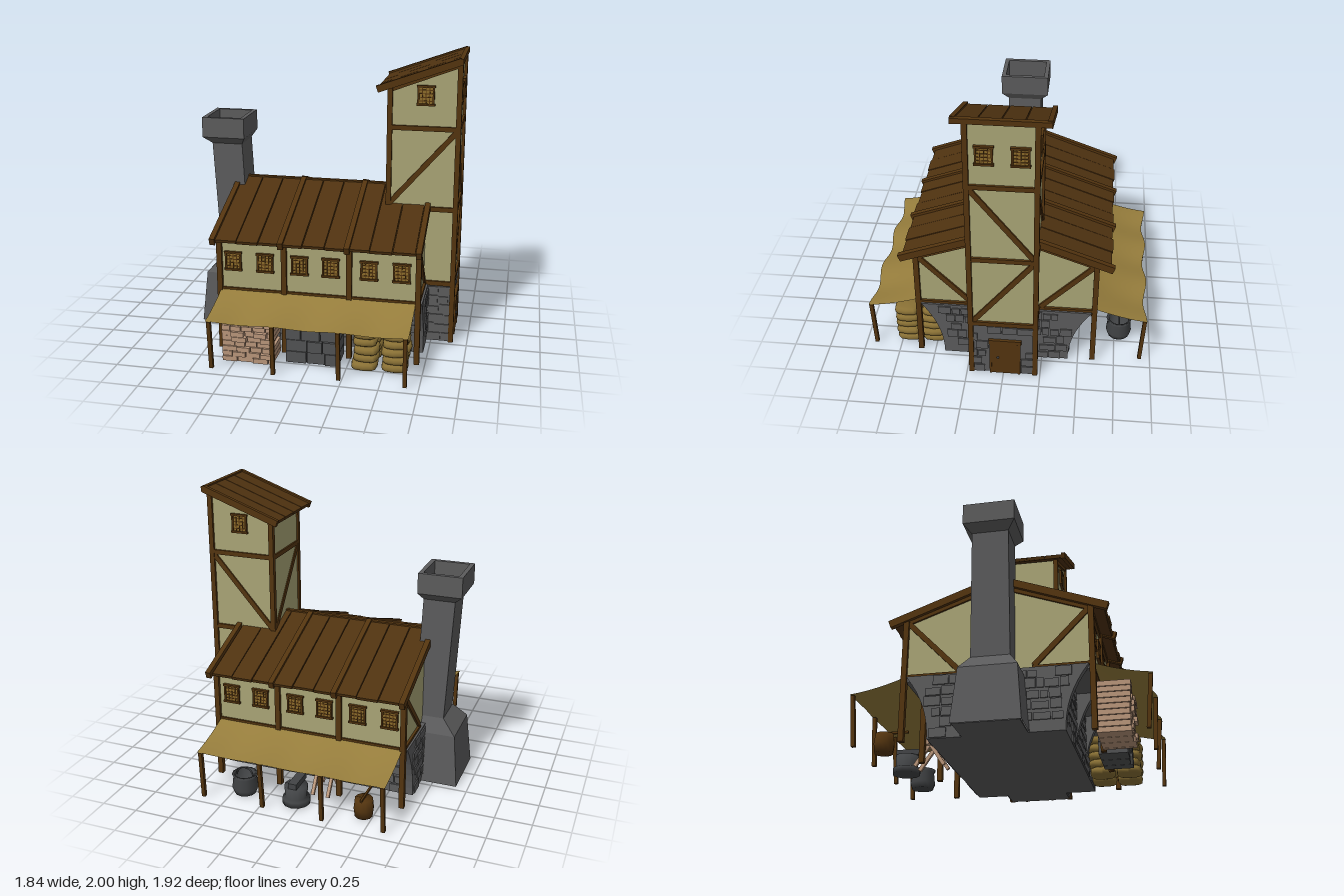
import * as THREE from 'three';

const mat = (name, color, extra = {}) => new THREE.MeshStandardMaterial({ name, color, ...extra });

export function createModel() {
  const root = new THREE.Group();
  root.name = 'timberWorkshop';
  const M = {
    timber: mat('timber', 0x53340f),
    roof: mat('roofPlanks', 0x4f3210),
    plaster: mat('plaster', 0xa8a475),
    stone: mat('stone', 0x5b5b5c),
    slab: mat('slabStone', 0x515253),
    iron: mat('iron', 0x424446),
    cloth: mat('awningCloth', 0x967d3c, { side: THREE.DoubleSide }),
    sack: mat('sackcloth', 0x8a7135),
    pane: mat('windowPane', 0x8c6b2a),
    wood: mat('cutWood', 0xb8957a),
  };
  let seed = 7;
  const rnd = () => (seed = (seed * 16807) % 2147483647) / 2147483647;

  const add = (name, geo, m, parent = root) => {
    const mesh = new THREE.Mesh(geo, m);
    mesh.name = name;
    parent.add(mesh);
    return mesh;
  };
  const box = (name, m, w, h, d, x, y, z, parent) => {
    const b = add(name, new THREE.BoxGeometry(w, h, d), m, parent);
    b.position.set(x, y, z);
    return b;
  };
  // Box running between two points; w is sideways, h is the in-plane thickness
  const beam = (name, m, a, b, w, h, parent = root) => {
    const p = new THREE.Vector3(...a), q = new THREE.Vector3(...b);
    const mesh = add(name, new THREE.BoxGeometry(w, h, p.distanceTo(q)), m, parent);
    mesh.position.copy(p).lerp(q, 0.5);
    mesh.lookAt(q);
    return mesh;
  };
  const group = (name, parent = root) => {
    const g = new THREE.Group();
    g.name = name;
    parent.add(g);
    return g;
  };
  const extrude = (pts, depth) => new THREE.ExtrudeGeometry(
    new THREE.Shape(pts.map(p => new THREE.Vector2(...p))), { depth, bevelEnabled: false });
  // Skin over rectangles [x0, x1, z0, z1, y], closed by the last one
  const loft = rings => {
    const pos = [];
    const ring = ([x0, x1, z0, z1, y]) => [[x0, y, z1], [x1, y, z1], [x1, y, z0], [x0, y, z0]];
    const quad = (a, b, c, d) => pos.push(...a, ...b, ...c, ...a, ...c, ...d);
    for (let i = 0; i + 1 < rings.length; i++) {
      const a = ring(rings[i]), b = ring(rings[i + 1]);
      for (let k = 0; k < 4; k++) quad(a[k], a[(k + 1) % 4], b[(k + 1) % 4], b[k]);
    }
    quad(...ring(rings[rings.length - 1]));
    const g = new THREE.BufferGeometry();
    g.setAttribute('position', new THREE.Float32BufferAttribute(pos, 3));
    g.computeVertexNormals();
    return g;
  };

  const bays = [-0.645, -0.2, 0.24, 0.695];

  // Ground floor: recessed core, overhang and curved buttresses
  box('stoneCore', M.stone, 1.33, 0.42, 0.86, 0.025, 0.225, 0);
  box('overhangFloor', M.stone, 1.33, 0.03, 1.18, 0.025, 0.425, 0);
  const flare = y => 0.43 + 0.15 * Math.pow((y - 0.015) / 0.42, 2.2);
  const profile = [];
  for (let i = 0; i <= 8; i++) profile.push([flare(0.015 + i * 0.0525), 0.015 + i * 0.0525]);
  const outline = [...profile, ...profile.map(([z, y]) => [-z, y]).reverse()];
  bays.forEach(x => {
    const b = add('curvedButtress', extrude(outline, 0.05).rotateY(Math.PI / 2), M.stone);
    b.position.x = x - 0.025;
  });
  box('towerStoneBase', M.stone, 0.4, 0.42, 0.43, 0.69, 0.225, 0);

  // Raised wall stones; u runs along the wall, keep() limits the area
  const stones = (u0, u1, place, keep = () => true) => {
    const g = group('wallStones');
    for (let y = 0.02; y < 0.4; y += 0.069) {
      for (let u = u0; u < u1 - 0.03;) {
        const w = Math.min(0.05 + rnd() * 0.07, u1 - u), h = 0.045 + rnd() * 0.02;
        if (rnd() < 0.8 && keep(u, u + w, y)) place(g, w - 0.008, h, u + w / 2, y + h / 2);
        u += w;
      }
    }
  };
  const onX = x => (g, w, h, u, y) => box('stoneBlock', M.stone, 0.014, h, w, x, y, u, g);
  const onZ = z => (g, w, h, u, y) => box('stoneBlock', M.stone, w, h, 0.014, u, y, z, g);
  const inFlare = (a, b, y) => Math.max(Math.abs(a), Math.abs(b)) < flare(y);
  stones(-0.57, 0.57, onX(0.722), inFlare);
  stones(-0.57, 0.57, onX(-0.672), inFlare);
  stones(-0.21, 0.21, onX(0.892), (a, b, y) => y > 0.3 || a > 0.09 || b < -0.115);
  for (const s of [1, -1]) {
    stones(0.72, 0.885, onZ(s * 0.217));
    stones(-0.6, 0.66, onZ(s * 0.432));
  }

  // Upper hall with gables
  const hall = add('hallWalls', extrude(
    [[-0.595, 0.44], [0.595, 0.44], [0.595, 0.828], [0, 1.045], [-0.595, 0.828]], 1.33).rotateY(Math.PI / 2), M.plaster);
  hall.position.x = -0.64;
  for (const s of [1, -1]) {
    box('hallSill', M.timber, 1.36, 0.025, 0.03, 0.025, 0.445, s * 0.592);
    box('hallEaveBeam', M.timber, 1.36, 0.03, 0.03, 0.025, 0.815, s * 0.595);
    bays.forEach(x => box('hallPost', M.timber, 0.036, 0.815, 0.036, x, 0.4225, s * 0.6));
    for (const x of [-0.642, 0.692]) {
      beam('gableBrace', M.timber, [x, 0.82, s * 0.59], [x, 0.455, s * 0.235], 0.024, 0.035);
      box('gableSill', M.timber, 0.03, 0.02, 0.37, x, 0.443, s * 0.41);
      beam('gableRafter', M.timber, [x, 0.815, s * 0.6], [x, 1.03, 0], 0.024, 0.03);
    }
  }

  // Hall roof of sloping planks
  const hallRoof = group('hallRoof');
  for (const s of [1, -1]) {
    for (let i = 0; i < 9; i++) {
      const x = -0.573 + i * 0.1475;
      beam('roofPlank', M.roof, [x, 1.066, 0], [x, 0.812, s * (0.69 + 0.008 * (i % 2))], 0.142, 0.022, hallRoof);
    }
    beam('roofUnderlay', M.roof, [0.02, 1.058, 0], [0.02, 0.808, s * 0.685], 1.33, 0.014, hallRoof);
    bays.forEach((x, i) => beam('roofRafter', M.timber, [x + [-0.015, 0, 0, 0.008][i], 1.068, 0],
      [x + [-0.015, 0, 0, 0.008][i], 0.81, s * 0.71], 0.036, 0.05, hallRoof));
  }
  box('ridgeBoard', M.timber, 1.33, 0.02, 0.03, 0.02, 1.072, 0, hallRoof);

  // Tower walls
  const tower = group('tower');
  add('towerWalls', extrude([[0.43, 0.44], [0.885, 0.44], [0.885, 1.965], [0.43, 1.79]], 0.43), M.plaster, tower).position.z = -0.215;
  for (const s of [1, -1]) {
    const z = s * 0.216;
    box('towerPost', M.timber, 0.034, 1.36, 0.034, 0.435, 1.115, z, tower);
    box('towerPost', M.timber, 0.034, 1.95, 0.034, 0.888, 0.99, z, tower);
    for (const y of [0.445, 0.975, 1.525]) box('towerRail', M.timber, 0.45, 0.032, 0.028, 0.66, y, z, tower);
    beam('towerBrace', M.timber, [0.44, 1.0, z], [0.88, 1.51, z], 0.022, 0.035, tower);
    beam('towerTopRail', M.timber, [0.43, 1.775, z], [0.89, 1.95, z], 0.026, 0.03, tower);
  }
  for (const x of [0.433, 0.887]) {
    for (const y of [0.445, 0.975, 1.525]) box('towerRail', M.timber, 0.028, 0.032, 0.42, x, y, 0, tower);
    beam('towerBrace', M.timber, [x, 1.51, 0.205], [x, 0.99, -0.205], 0.022, 0.035, tower);
  }
  beam('towerBrace', M.timber, [0.887, 0.965, -0.205], [0.887, 0.455, 0.205], 0.022, 0.035, tower);

  // Tower roof
  const towerRoof = group('towerRoof', tower);
  for (let i = 0; i < 4; i++) {
    const z = -0.21 + i * 0.14;
    beam('roofPlank', M.roof, [0.365, 1.79, z], [0.9, 1.985, z], 0.134, 0.022, towerRoof);
  }
  beam('roofUnderlay', M.roof, [0.37, 1.782, 0], [0.895, 1.974, 0], 0.56, 0.014, towerRoof);
  for (const s of [1, -1]) beam('bargeBoard', M.timber, [0.358, 1.788, s * 0.285], [0.9, 1.983, s * 0.285], 0.03, 0.045, towerRoof);
  box('topBoard', M.timber, 0.03, 0.035, 0.6, 0.895, 1.982, 0, towerRoof);

  // Lattice windows, built facing +z
  const lattice = (x, y, z, turn) => {
    const g = group('window');
    g.position.set(x, y, z);
    g.rotation.y = turn;
    box('pane', M.pane, 0.1, 0.12, 0.008, 0, 0, 0.004, g);
    for (const s of [1, -1]) {
      box('windowSide', M.timber, 0.012, 0.13, 0.018, s * 0.05, 0, 0.008, g);
      box('windowSill', M.timber, 0.122, 0.014, 0.022, 0, s * 0.06, 0.009, g);
    }
    for (const t of [-0.024, 0, 0.024]) box('latticeBar', M.timber, 0.005, 0.12, 0.012, t, 0, 0.006, g);
    for (const t of [-0.036, -0.012, 0.012, 0.036]) box('latticeBar', M.timber, 0.1, 0.005, 0.012, 0, t, 0.006, g);
  };
  for (const [s, turn] of [[1, 0], [-1, Math.PI]]) {
    for (const x of [-0.55, -0.33, -0.095, 0.115, 0.37, 0.585]) lattice(x, 0.648, s * 0.595, turn);
    lattice(0.67, 1.745, s * 0.215, turn);
  }
  for (const z of [0.105, -0.115]) lattice(0.885, 1.75, z, Math.PI / 2);

  // Tower door
  box('door', M.timber, 0.016, 0.265, 0.195, 0.895, 0.15, -0.0125);
  box('doorLintel', M.timber, 0.026, 0.032, 0.22, 0.897, 0.296, -0.0125);
  for (const z of [-0.11, 0.085]) box('doorJamb', M.timber, 0.022, 0.27, 0.014, 0.896, 0.15, z);
  add('doorKnob', new THREE.SphereGeometry(0.009, 8, 6), M.iron).position.set(0.907, 0.16, 0.035);

  // Chimney with a hollow cap
  add('chimney', loft([
    [-0.92, -0.5, -0.22, 0.21, 0.015], [-0.885, -0.55, -0.19, 0.18, 0.38], [-0.79, -0.58, -0.135, 0.115, 0.48],
    [-0.835, -0.62, -0.13, 0.11, 1.33], [-0.89, -0.59, -0.18, 0.16, 1.38], [-0.89, -0.59, -0.18, 0.16, 1.52],
    [-0.86, -0.62, -0.15, 0.13, 1.52], [-0.86, -0.62, -0.15, 0.13, 1.38]]), M.stone);
  box('chimneyUnderside', M.stone, 0.4, 0.01, 0.41, -0.71, 0.02, -0.005);

  // Sagging awnings on splayed poles, front and back
  for (const s of [1, -1]) {
    const geo = new THREE.PlaneGeometry(1.32, 1, 36, 6);
    const p = geo.attributes.position;
    for (let i = 0; i < p.count; i++) {
      const x = p.getX(i) + 0.02, v = 0.5 - p.getY(i);
      const sag = v * Math.sin(Math.PI * (x + 0.64) / 0.44) ** 2;
      p.setXYZ(i, x, 0.447 - 0.14 * v + 0.05 * v * v - 0.02 * sag, s * (0.595 + 0.365 * v - 0.025 * sag));
    }
    geo.computeVertexNormals();
    add('awning', geo, M.cloth);
    [-0.62, -0.2, 0.23, 0.66].forEach((x, i) =>
      beam('awningPole', M.timber, [x, 0.012, s * (0.915 + 0.012 * (i % 2))], [x, 0.352, s * 0.945], 0.026, 0.026));
  }

  // Stacked cut wood and stone slabs under the front awning
  const pile = (name, m, x0, x1, z0, z1, rows, h, len) => {
    const g = group(name);
    for (let r = 0; r < rows; r++) {
      for (let x = x0 - (r % 2) * len * 0.3; x < x1 - 0.02;) {
        const a = Math.max(x, x0), w = Math.min(len * (0.7 + rnd() * 0.6), x1 - a);
        const out = z1 - rnd() * 0.03;
        box('stackedBlock', m, w - 0.005, h - 0.004, out - z0, a + w / 2, 0.015 + (r + 0.5) * h, (out + z0) / 2, g);
        x = a + w;
      }
    }
  };
  pile('cutWoodStack', M.wood, -0.58, -0.23, 0.6, 0.83, 9, 0.037, 0.085);
  pile('slabStack', M.slab, -0.16, 0.2, 0.56, 0.77, 4, 0.083, 0.12);

  // Grain sacks
  const sacks = group('sacks');
  const sackGeo = new THREE.SphereGeometry(1, 12, 8);
  const sp = sackGeo.attributes.position;
  const round = v => Math.sign(v) * Math.pow(Math.abs(v), 0.6);
  for (let i = 0; i < sp.count; i++) sp.setXYZ(i, round(sp.getX(i)), round(sp.getY(i)), round(sp.getZ(i)));
  sackGeo.computeVertexNormals();
  for (let r = 0; r < 5; r++) for (const x of [0.375, 0.565]) for (const z of [0.525, 0.705]) {
    const b = add('sack', sackGeo, M.sack, sacks);
    b.scale.set(0.088 - 0.002 * r, 0.031, 0.088);
    b.position.set(x + (rnd() - 0.5) * 0.015, 0.046 + r * 0.056, z + (rnd() - 0.5) * 0.015);
    b.rotation.y = (rnd() - 0.5) * 0.12;
  }

  // Work gear under the back awning
  const lathe = (name, pts, m, x, z) => {
    const l = add(name, new THREE.LatheGeometry(pts.map(p => new THREE.Vector2(...p)), 12), m);
    l.position.set(x, 0.015, z);
  };
  const pot = [[0, 0], [0.075, 0], [0.09, 0.04], [0.08, 0.12], [0.09, 0.14], [0.07, 0.14], [0.065, 0.05], [0, 0.04]];
  lathe('cauldron', pot, M.iron, 0.42, -0.78);
  lathe('bucket', [[0, 0], [0.095, 0], [0.095, 0.04], [0.075, 0.05], [0.08, 0.13], [0, 0.13]], M.iron, 0.04, -0.78);
  lathe('cask', [[0, 0], [0.06, 0], [0.068, 0.06], [0.06, 0.13], [0, 0.13]], M.timber, -0.44, -0.78);
  add('bucketHandle', new THREE.TorusGeometry(0.06, 0.006, 6, 12, Math.PI), M.iron).position.set(0.42, 0.14, -0.78);
  box('anvil', M.iron, 0.06, 0.04, 0.18, 0.04, 0.165, -0.76);
  beam('hammerHandle', M.timber, [-0.44, 0.15, -0.62], [-0.44, 0.15, -0.84], 0.014, 0.014);
  for (const x of [-0.14, -0.03]) for (const s of [1, -1])
    beam('sawhorseLeg', M.wood, [x, 0.015, -0.565 + s * 0.1], [x, 0.2, -0.565 - s * 0.025], 0.022, 0.024);
  box('sawhorseRail', M.wood, 0.2, 0.03, 0.04, -0.085, 0.165, -0.565);

  return root;
}
